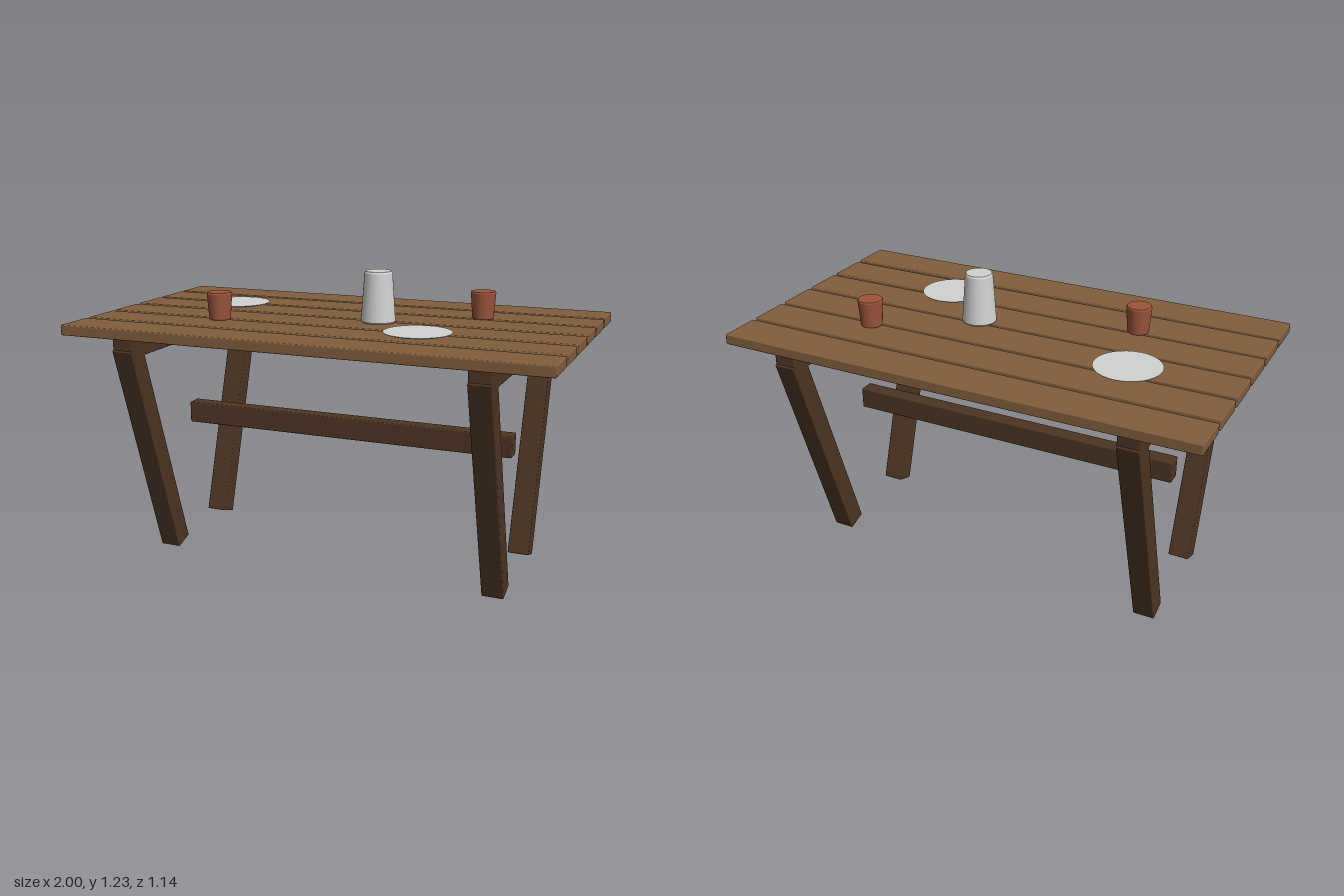
import * as THREE from 'three';
import { RoundedBoxGeometry } from 'three/addons/geometries/RoundedBoxGeometry.js';

const material = (name, color) => {
  const m = new THREE.MeshStandardMaterial({ color });
  m.name = name;
  return m;
};

export function createModel() {
  const model = new THREE.Group();
  model.name = 'picnicTable';
  const plankWood = material('plankWood', 0x825d3d);
  const frameWood = material('frameWood', 0x4c3523);
  const clay = material('clay', 0x9c543c);
  const ceramic = material('ceramic', 0xd0d3d0);

  const add = (name, geometry, mat, x, y, z) => {
    const mesh = new THREE.Mesh(geometry, mat);
    mesh.name = name;
    mesh.position.set(x, y, z);
    model.add(mesh);
    return mesh;
  };
  const beam = (w, h, d) => new RoundedBoxGeometry(w, h, d, 2, 0.005);

  // table top: six planks with narrow gaps
  for (let i = 0; i < 6; i++) {
    add('plank', beam(2, 0.043, 0.174), plankWood, 0, 1.0095, (i - 2.5) * 0.1932);
  }

  // two trestles: a cross beam on a pair of legs leaning outwards
  const bottom = new THREE.Vector2(0.209, 0.018);
  const top = new THREE.Vector2(0.512, 0.950);
  const legLength = bottom.distanceTo(top);
  const lean = Math.atan2(top.x - bottom.x, top.y - bottom.y);
  for (const sx of [1, -1]) {
    add('crossBeam', beam(0.09, 0.078, 1.09), frameWood, sx * 0.73, 0.949, -0.003);
    for (const sz of [1, -1]) {
      const leg = add('leg', beam(0.09, legLength, 0.086), frameWood,
        sx * 0.73, (bottom.y + top.y) / 2, sz * (bottom.x + top.x) / 2 - 0.003);
      leg.rotation.x = sz * lean;
    }
  }

  // long rail between the trestles
  add('stretcher', beam(1.466, 0.092, 0.066), frameWood, 0, 0.563, -0.003);

  // crockery: closed turned shapes, each face with its own crisp normals
  const turned = (name, mat, x, z, rings) => {
    const group = new THREE.Group();
    group.name = name;
    group.position.set(x, 1.031, z);
    for (let i = 0; i < rings.length - 1; i++) {
      const [r0, y0] = rings[i];
      const [r1, y1] = rings[i + 1];
      const band = new THREE.Mesh(
        new THREE.CylinderGeometry(r1, r0, y1 - y0, 32, 1, true), mat);
      band.name = name + 'Side';
      band.position.y = (y0 + y1) / 2;
      group.add(band);
    }
    for (const [[r, y], turn] of [[rings[0], 1], [rings[rings.length - 1], -1]]) {
      const cap = new THREE.Mesh(new THREE.CircleGeometry(r, 32), mat);
      cap.name = name + 'Cap';
      cap.position.y = y;
      cap.rotation.x = turn * Math.PI / 2;
      group.add(cap);
    }
    model.add(group);
  };

  const plate = [[0.09, 0], [0.133, 0.011], [0.135, 0.014]];
  turned('plate', ceramic, -0.563, -0.14, plate);
  turned('plate', ceramic, 0.397, 0.233, plate);

  const cup = [[0.041, 0], [0.044, 0.004], [0.052, 0.107], [0.049, 0.113]];
  turned('cup', clay, 0.53, -0.217, cup);
  turned('cup', clay, -0.47, 0.208, cup);

  turned('pitcher', ceramic, 0.157, 0.022,
    [[0.068, 0], [0.071, 0.005], [0.057, 0.2], [0.053, 0.208]]);

  return model;
}
